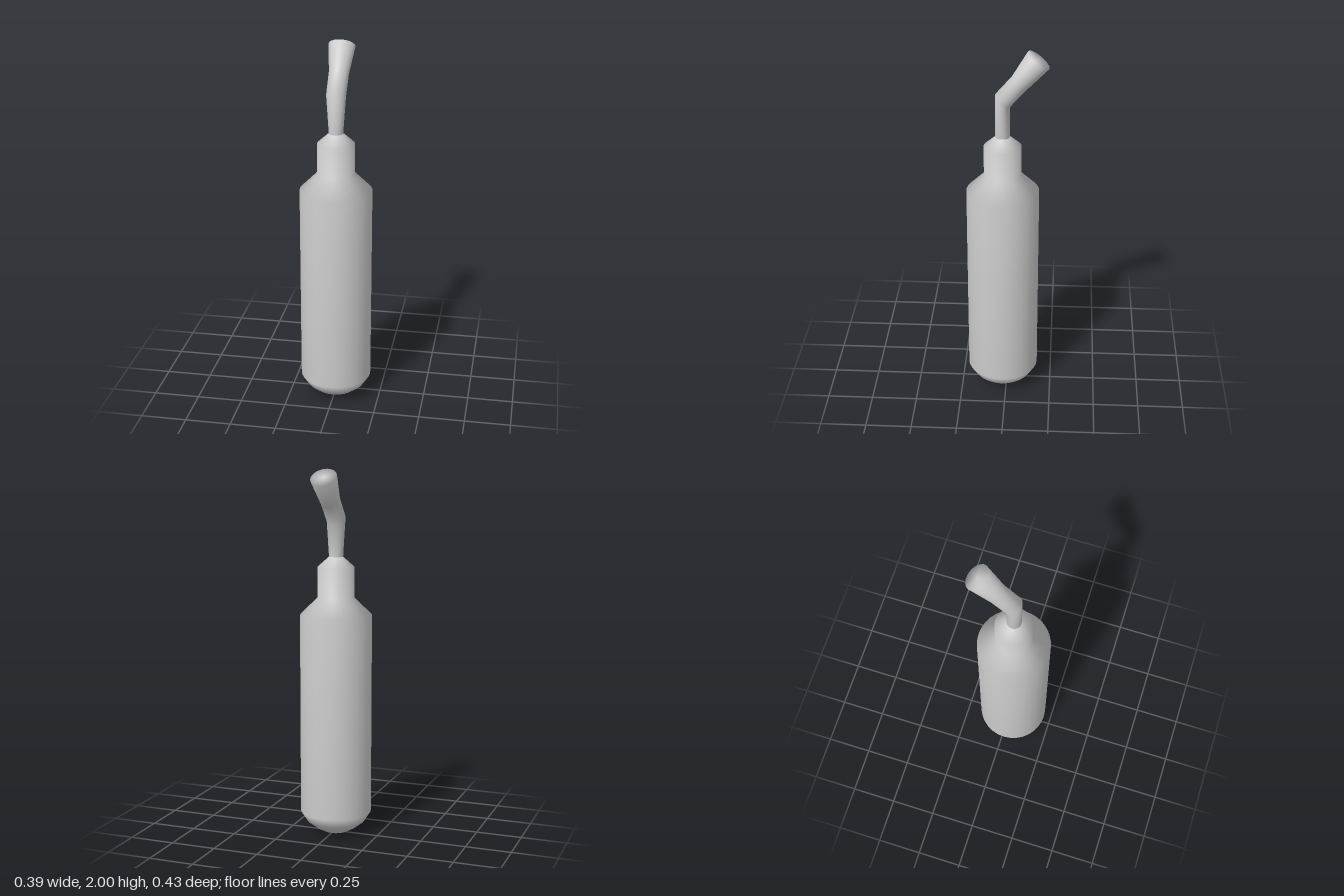
import * as THREE from 'three';

const SEGMENTS = 32;
const AXIS_Z = 0.022;

// Smooth tube through tilted rings; each ring is [front y, front z, back y, back z, half width].
function ringTube(rings) {
  const positions = [];
  const index = [];
  for (const [fy, fz, by, bz, halfWidth] of rings) {
    for (let j = 0; j < SEGMENTS; j++) {
      const t = (j / SEGMENTS) * Math.PI * 2;
      const s = Math.sin(t) / 2;
      positions.push(
        Math.cos(t) * halfWidth,
        (fy + by) / 2 + s * (fy - by),
        (fz + bz) / 2 + s * (fz - bz)
      );
    }
  }
  for (let i = 0; i < rings.length - 1; i++) {
    for (let j = 0; j < SEGMENTS; j++) {
      const a = i * SEGMENTS + j;
      const b = i * SEGMENTS + ((j + 1) % SEGMENTS);
      const c = a + SEGMENTS;
      const d = b + SEGMENTS;
      index.push(a, c, b, b, c, d);
    }
  }
  // Close the tip with a fan
  const [fy, fz, by, bz] = rings[rings.length - 1];
  const last = (rings.length - 1) * SEGMENTS;
  const centre = positions.length / 3;
  positions.push(0, (fy + by) / 2, (fz + bz) / 2);
  for (let j = 0; j < SEGMENTS; j++) {
    index.push(centre, last + ((j + 1) % SEGMENTS), last + j);
  }
  const geometry = new THREE.BufferGeometry();
  geometry.setAttribute('position', new THREE.Float32BufferAttribute(positions, 3));
  geometry.setIndex(index);
  geometry.computeVertexNormals();
  return geometry;
}

export function createModel() {
  const group = new THREE.Group();
  const material = new THREE.MeshStandardMaterial({ color: 0xcccccc });

  // Bottle body with rounded base, sloping shoulder and collar
  const profile = [
    [0, 0], [0.07, 0], [0.115, 0.025], [0.16, 0.06], [0.195, 0.115],
    [0.195, 1.215], [0.1, 1.31], [0.1, 1.475], [0.038, 1.53],
  ].map(([r, y]) => new THREE.Vector2(r, y));
  const body = new THREE.Mesh(new THREE.LatheGeometry(profile, SEGMENTS), material);
  body.name = 'body';
  body.position.z = AXIS_Z;
  group.add(body);

  // Bent neck flaring to a slanted, closed tip
  const neck = new THREE.Mesh(ringTube([
    [1.53, 0.061, 1.53, -0.016, 0.038],
    [1.765, 0.061, 1.7, -0.016, 0.052],
    [1.865, -0.025, 1.8, -0.105, 0.053],
    [2.0, -0.106, 1.915, -0.217, 0.071],
  ]), material);
  neck.name = 'bentNeck';
  group.add(neck);

  return group;
}
